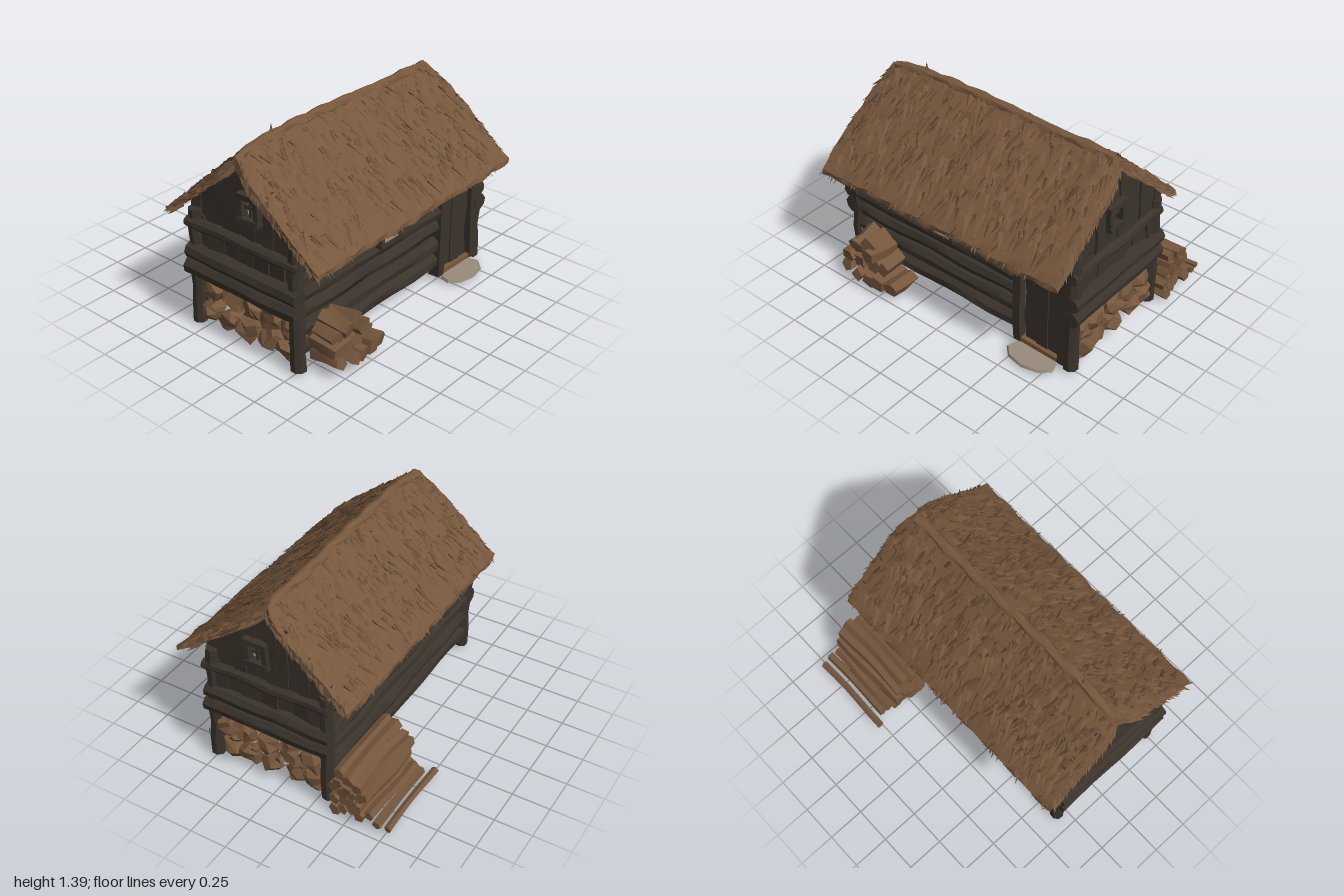
import * as THREE from 'three';
import { mergeGeometries, toCreasedNormals } from 'three/addons/utils/BufferGeometryUtils.js';

const mat = (name, color, extra = {}) =>
  Object.assign(new THREE.MeshStandardMaterial({ color, ...extra }), { name });
const V = (x, y, z) => new THREE.Vector3(x, y, z);

export function createModel() {
  const group = new THREE.Group();
  const thatch = mat('thatch brown', 0x76573d, { side: THREE.DoubleSide });
  const brown = mat('firewood and stone brown', 0x76573d);
  const dark = mat('weathered dark wood', 0x3a332b);
  const grey = mat('grey clay', 0x9a8b7c);

  let seed = 7;
  const rnd = (a = 0, b = 1) => {
    seed = (seed * 16807) % 2147483647;
    return a + (b - a) * (seed / 2147483647);
  };

  // Gentle hand-hewn unevenness, driven by position so seams stay closed
  const warp = (geo, amt, f = 11) => {
    const p = geo.attributes.position;
    for (let i = 0; i < p.count; i++) {
      const x = p.getX(i), y = p.getY(i), z = p.getZ(i);
      p.setXYZ(i,
        x + amt * Math.sin(f * (y * 1.7 + z) + 1),
        y + amt * Math.sin(f * (x + z * 1.3) + y * 9),
        z + amt * Math.sin(f * (x * 0.8 - y * 1.9) + 2));
    }
    return geo;
  };
  const along = (geo, a, b) => {
    const d = b.clone().sub(a).normalize();
    geo.applyQuaternion(new THREE.Quaternion().setFromUnitVectors(V(0, 1, 0), d));
    const m = a.clone().add(b).multiplyScalar(0.5);
    return geo.translate(m.x, m.y, m.z);
  };
  const log = (a, b, r, sides = 8, amt = 0.005) => {
    const len = a.distanceTo(b);
    const g = new THREE.CylinderGeometry(r * rnd(0.9, 1), r, len, sides, Math.max(1, Math.round(len * 8)));
    return warp(along(g.rotateY(rnd(0, 1)), a, b), amt);
  };
  const box = (x, y, z, w, h, d, amt = 0.004) =>
    warp(new THREE.BoxGeometry(w, h, d, 2, 3, 2).translate(x, y, z), amt);
  const add = (name, geos, material, crease = 0.7) => {
    const flat = geos.map(g => (g.index ? g.toNonIndexed() : g));
    const mesh = new THREE.Mesh(toCreasedNormals(mergeGeometries(flat), crease), material);
    mesh.name = name;
    group.add(mesh);
  };

  // Clay lining inside the long walls, showing through gaps between the logs
  const lining = (z, d) => warp(new THREE.BoxGeometry(1.7, 0.67, d, 24, 8, 1).translate(0, 0.435, z), 0.004);
  add('clayLining', [lining(0.432, 0.066), lining(-0.252, 0.066)], grey);
  const step = new THREE.CylinderGeometry(0.17, 0.18, 0.018, 9).scale(1, 1, 0.58).translate(0.63, 0.011, 0.59);
  add('doorStep', [step], grey);

  // Log walls: lower front logs stop at the door
  const rows = [[0.135, 0.056], [0.26, 0.058], [0.39, 0.06], [0.5, 0.062], [0.605, 0.063], [0.71, 0.063]];
  add('frontLogs', rows.map(([y, r], i) =>
    log(V(-0.88, y, 0.475), V(i > 4 ? 0.87 : 0.47, y + rnd(-0.006, 0.006), 0.475), r)), dark);
  add('backLogs', rows.map(([y, r]) => log(V(-0.87, y, -0.295), V(0.86, y, -0.295), r)), dark);

  // Corner posts
  const posts = [];
  for (const x of [-0.88, 0.86]) {
    posts.push(log(V(x, 0.005, 0.5), V(x, 0.84, 0.49), 0.05));
    posts.push(log(V(x, 0.01, -0.31), V(x, 0.8, -0.31), 0.046));
  }
  add('cornerPosts', posts, dark);

  // End walls: beams, recessed planks, gable boards and a see-through window
  const under = z => Math.min(1.19, 1.25 - (z > 0.08 ? 0.81 : 0.93) * Math.abs(z - 0.08));
  const beams = [], boards = [], frames = [], stones = [];
  for (const s of [-1, 1]) {
    const x = s * 0.87, bx = s * (s < 0 ? 0.905 : 0.875);
    for (const [y, r] of [[0.405, 0.06], [0.512, 0.056], [0.712, 0.038]])
      beams.push(log(V(bx, y, -0.345), V(bx, y, 0.54), r, 8, 0.004));
    // Slanting infill planks
    for (let i = 0; i < 7; i++) {
      const g = new THREE.BoxGeometry(0.03, 0.22, 0.14).rotateX(rnd(-0.25, 0.25)).rotateY(rnd(-0.15, 0.15));
      boards.push(g.translate(x - s * rnd(0, 0.02), 0.62, -0.27 + i * 0.12));
    }
    const n = 12, w = 0.88 / n;
    for (let i = 0; i < n; i++) {
      const z = -0.35 + w * (i + 0.5), px = x - s * rnd(0, 0.025);
      const lo = 0.72, hi = under(z) + 0.015;
      const spans = z > 0.07 && z < 0.22 ? [[lo, 0.88], [1.01, hi]] : [[lo, hi]];
      for (const [a, b] of spans)
        boards.push(box(px, (a + b) / 2, z, 0.025, b - a, w * 1.06, 0.004));
    }
    for (const o of [-0.062, 0.062]) {
      frames.push(box(x + s * 0.01, 0.945, 0.145 + o, 0.05, 0.17, 0.036, 0.004));
      frames.push(box(x + s * 0.015, 0.945 + o * 1.2, 0.145, 0.055, 0.034, 0.16, 0.004));
    }
    frames.push(box(x, 0.945, 0.145, 0.02, 0.14, 0.018, 0.003), box(x, 0.945, 0.145, 0.02, 0.02, 0.12, 0.003));
    // Rubble filling the foot of the end wall, with daylight between the blocks
    const stone = (y, z, r) => {
      const g = new THREE.DodecahedronGeometry(r, 0).rotateX(rnd(0, 6)).rotateY(rnd(0, 6));
      g.scale(0.055 / r, rnd(0.9, 1), rnd(0.95, 1.15)).translate(x - s * 0.012, y, z);
      stones.push(warp(g, 0.014, 27));
    };
    for (let r = 0; r < 2; r++) for (let c = 0; c < 5; c++)
      stone(0.1 + r * 0.15 + rnd(-0.01, 0.01), -0.23 + c * 0.155 + r * 0.04 + rnd(-0.02, 0.02), rnd(0.08, 0.09));
    for (let c = 0; c < 4; c++) stone(0.175, -0.15 + c * 0.17, 0.035);
  }
  add('endBeams', beams, dark);
  add('gableBoards', boards, dark);
  add('gableWindows', frames, dark);
  add('stoneFooting', stones, brown, 0.3);

  // Front window: dark pane, open frame and pale inner ledges
  const fw = [box(-0.1, 0.625, 0.505, 0.14, 0.13, 0.06)];
  for (const s of [-1, 1]) {
    fw.push(box(-0.1 + s * 0.08, 0.625, 0.54, 0.028, 0.17, 0.05, 0.003));
    fw.push(box(-0.1, 0.625 + s * 0.075, 0.545, 0.2, 0.026, 0.05, 0.003));
  }
  add('frontWindow', fw, dark);
  add('windowLedge', [
    new THREE.BoxGeometry(0.13, 0.009, 0.04).translate(-0.1, 0.57, 0.548),
    new THREE.BoxGeometry(0.009, 0.12, 0.03).translate(-0.161, 0.625, 0.548),
  ], grey);

  // Plank door between two posts, with a pale gap showing around it
  const door = [0.56, 0.645, 0.73].map((x, i) => box(x, 0.315, 0.49 + 0.008 * (i % 2), 0.09, 0.53, 0.03));
  add('door', door, dark);
  add('doorGap', [
    new THREE.BoxGeometry(0.27, 0.016, 0.02).translate(0.64, 0.59, 0.495),
    new THREE.BoxGeometry(0.01, 0.54, 0.02).translate(0.506, 0.325, 0.48),
  ], grey);
  add('doorFrame', [
    box(0.472, 0.33, 0.5, 0.055, 0.62, 0.08), box(0.825, 0.38, 0.5, 0.08, 0.71, 0.08),
    box(0.645, 0.625, 0.5, 0.36, 0.05, 0.06),
  ], dark);
  add('threshold', [box(0.645, 0.035, 0.5, 0.34, 0.03, 0.07)], brown);

  // Thatched roof: two thick slopes, t runs from ridge to eave
  const cx = -0.025;
  const surf = (side, x, t) => V(x,
    1.31 - 0.54 * t + 0.012 * Math.sin(t * 3.1) + 0.006 * Math.sin(x * 9)
      + (0.01 * Math.cos(x * 4 + 1) - 1.2 * Math.max(0, Math.abs(x - cx) - 0.72) ** 2) * (1 - t),
    0.08 + side * (side < 0 ? 0.56 : 0.64) * t);
  const slabs = [], straw = [];
  for (const side of [1, -1]) {
    const g = new THREE.BoxGeometry(1.86, 2, 1, 30, 1, 12);
    const p = g.attributes.position;
    for (let i = 0; i < p.count; i++) {
      const t = p.getZ(i) + 0.5, isTop = p.getY(i) > 0;
      const q = surf(side, cx + side * p.getX(i) * (0.95 + 0.05 * Math.min(1, t * 5)), t);
      p.setXYZ(i, q.x, q.y - (isTop ? 0 : 0.08 - 0.045 * t), q.z);
    }
    slabs.push(warp(g, 0.006, 35));
    const down = surf(side, 0, 1).sub(surf(side, 0, 0)).normalize();
    const out = V(0, Math.abs(down.z), side * Math.abs(down.y));
    // One flattened, pointed bundle of straw
    const lay = (x, t, lift, len, r, sx = 0) => {
      const a = surf(side, x, t).addScaledVector(out, lift);
      const d = down.clone().addScaledVector(out, rnd(-0.04, 0.09)).add(V(sx + rnd(-0.35, 0.35), 0, 0)).normalize();
      const g = new THREE.ConeGeometry(r, len, 4, 1, true).rotateY(rnd(-0.4, 0.4)).scale(1, 1, 0.45);
      straw.push(along(g, a, a.clone().addScaledVector(d, len)));
    };
    // Straw laid over the slope
    for (let i = 0; i < 700; i++)
      lay(cx + rnd(-0.89, 0.89), rnd(0.02, 0.85), rnd(-0.004, 0.004), rnd(0.08, 0.15), rnd(0.015, 0.026));
    // Ragged eave fringe
    for (let i = 0; i < 190; i++)
      lay(cx + rnd(-0.92, 0.92), rnd(0.91, 0.97), rnd(-0.035, 0), rnd(0.05, 0.085), 0.014);
    // Ragged edges above the gables
    for (const s of [-1, 1]) for (let i = 0; i < 100; i++) {
      const t = rnd(0.03, 0.93);
      lay(cx + s * (0.87 + 0.04 * Math.min(1, t * 5)), t, rnd(-0.05, 0), rnd(0.05, 0.085), 0.015, s * 0.5);
    }
  }
  add('roofSlopes', slabs, thatch);
  add('roofStraw', straw, thatch, 2.2);
  // Ridge roll following the sag of the roof, with a stray wisp
  const ridgePath = new THREE.CatmullRomCurve3([-0.87, -0.72, -0.4, 0, 0.4, 0.68, 0.82].map(x =>
    surf(1, x, 0).add(V(0, -0.024, 0))));
  add('roofRidge', [
    warp(new THREE.TubeGeometry(ridgePath, 24, 0.034, 8), 0.005, 30),
    new THREE.ConeGeometry(0.02, 0.08, 4).translate(-0.62, 1.335, 0.08),
  ], thatch);

  // Chunky firewood heap by the front wall, billets pointing forward
  const front = [];
  [[0.085, 5], [0.175, 4], [0.25, 3], [0.305, 2]].forEach(([y, n], r) => {
    for (let i = 0; i < n; i++) {
      const x = -0.76 + i * 0.085 + r * 0.015 + rnd(-0.012, 0.012);
      front.push(log(V(x, y + rnd(-0.015, 0.015), 0.53),
        V(x + rnd(-0.03, 0.03), y + rnd(-0.02, 0.02), r ? rnd(0.69, 0.76) : rnd(0.73, 0.77)),
        rnd(0.05, 0.064), i % 2 ? 4 : 5, 0.01));
    }
  });
  add('frontFirewood', front, brown, 0.3);

  // Long firewood stack sloping down behind the back wall
  const back = [];
  [[0.045, 5], [0.115, 4], [0.185, 4], [0.255, 3], [0.315, 2]].forEach(([y, n], r) => {
    for (let i = 0; i < n; i++) {
      const z = -0.4 - i * 0.062 - (r > 2 ? 0.025 : 0) + rnd(-0.012, 0.012);
      back.push(log(V(0.35 + rnd(-0.01, 0.04), y + rnd(-0.01, 0.01), z),
        V(0.94 + rnd(-0.02, 0.04), y + rnd(-0.02, 0.02), z), rnd(0.035, 0.046), 5, 0.008));
    }
  });
  back.push(log(V(0.4, 0.035, -0.69), V(0.95, 0.035, -0.695), 0.03, 5, 0.006));
  back.push(log(V(0.35, 0.03, -0.762), V(0.94, 0.03, -0.765), 0.024, 5, 0.006));
  add('backFirewood', back, brown, 0.3);

  return group;
}
